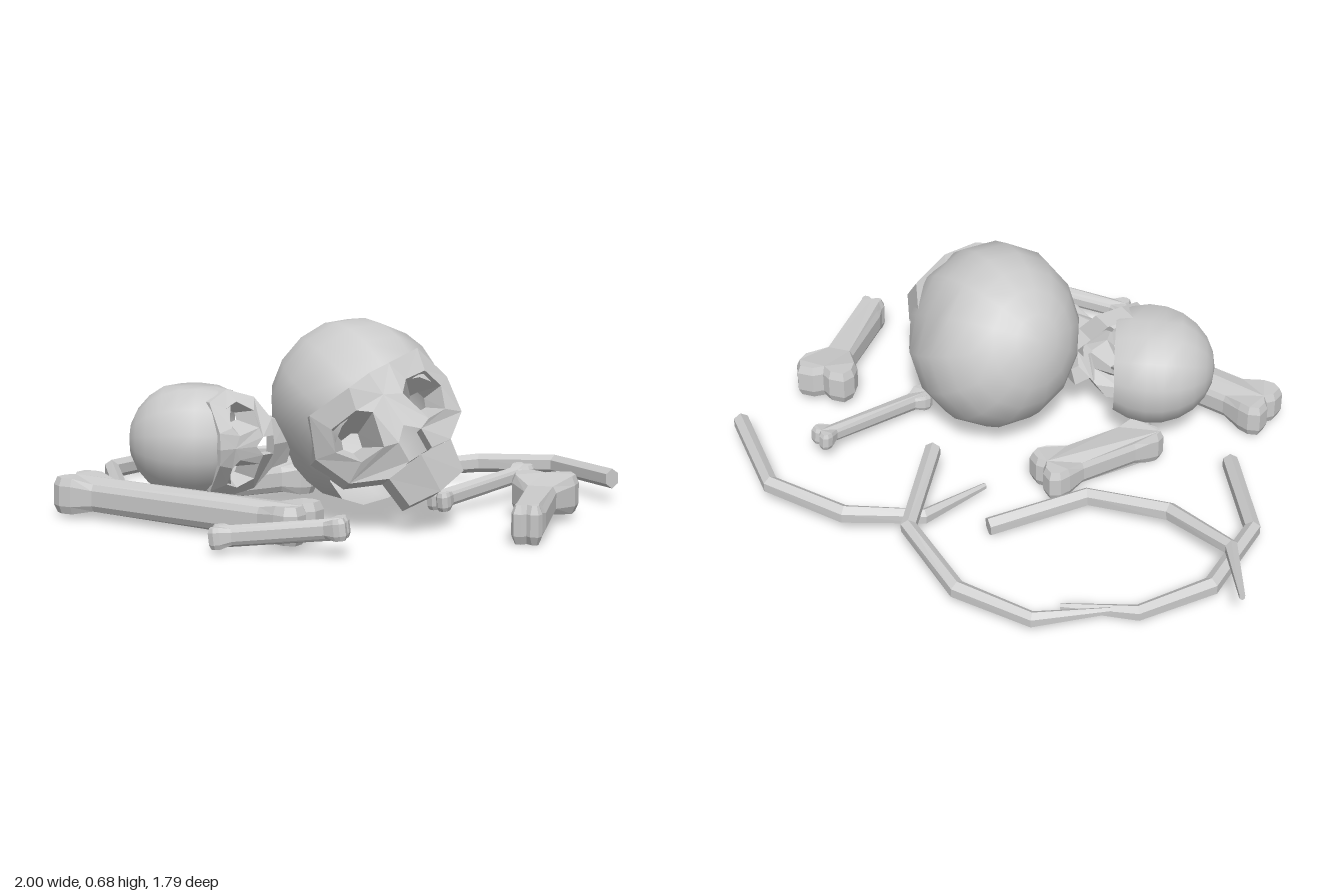
import * as THREE from 'three';
import { mergeVertices } from 'three/addons/utils/BufferGeometryUtils.js';

const solid = new THREE.MeshStandardMaterial({ color: 0xcccccc });
const shell = new THREE.MeshStandardMaterial({ color: 0xcccccc, side: THREE.DoubleSide });
const vec = (a) => new THREE.Vector3(...a);
const UP = new THREE.Vector3(0, 1, 0);

function mesh(name, geometry, material = solid) {
  const m = new THREE.Mesh(geometry, material);
  m.name = name;
  return m;
}

function facets(points) {
  const g = new THREE.BufferGeometry().setFromPoints(points);
  g.computeVertexNormals();
  return g;
}

// Frame whose x runs along a direction and whose z stays close to up
function frame(direction) {
  const u = direction.clone().normalize();
  const v = UP.clone().cross(u).normalize();
  return [u, v, u.clone().cross(v)];
}

// Curved rib: hexagonal section swept along a few points, thin tip to thick end
function rib(name, coords) {
  const pts = coords.map(vec), sides = 6, n = pts.length;
  const rings = pts.map((p, i) => {
    const [, v, w] = frame(pts[Math.min(i + 1, n - 1)].clone().sub(pts[Math.max(i - 1, 0)]));
    const size = [0.35, 0.85, 1, 1, 1][i];
    return Array.from({ length: sides }, (_, j) => {
      const a = ((j + 0.5) / sides) * Math.PI * 2;
      return p.clone()
        .addScaledVector(v, Math.cos(a) * 0.03 * size)
        .addScaledVector(w, Math.sin(a) * 0.036 * size);
    });
  });
  const tris = [];
  for (let j = 0; j < sides; j++) {
    const k = (j + 1) % sides;
    for (let i = 0; i < n - 1; i++) {
      const [a, b, c, d] = [rings[i][j], rings[i][k], rings[i + 1][k], rings[i + 1][j]];
      tris.push(a, b, c, a, c, d);
    }
    tris.push(pts[0], rings[0][k], rings[0][j], pts[n - 1], rings[n - 1][j], rings[n - 1][k]);
  }
  return mesh(name, facets(tris));
}

// Long bone: bevelled outline with a notched knob at each end
function bone(name, from, to, endA, endB, shaft, height) {
  const a = vec(from), b = vec(to), L = a.distanceTo(b);
  const bevel = height * 0.22;
  const knob = (w, side) => [[0.1 * w, 0], [0, 0.14 * w], [0, 0.4 * w], [0.2 * w, 0.5 * w],
    [0.42 * w, 0.47 * w], [0.8 * w, shaft * 0.54]].map(([u, v]) => [u, v * side]);
  const flip = (list) => list.map(([u, v]) => [L - u, v]);
  const outline = [
    ...knob(endA, -1), ...flip(knob(endB, -1)).reverse(),
    ...flip(knob(endB, 1)).slice(1), ...knob(endA, 1).slice(1).reverse(),
  ];
  const shape = new THREE.Shape(outline.map(([u, v]) => new THREE.Vector2(u, v)));
  const g = new THREE.ExtrudeGeometry(shape, {
    depth: height - 2 * bevel, bevelEnabled: true, bevelSegments: 1,
    bevelSize: bevel * 0.4, bevelOffset: -bevel * 0.4, bevelThickness: bevel,
  });
  g.translate(0, 0, bevel - height / 2);
  // Thin the shaft between the knobs
  const p = g.attributes.position;
  for (let i = 0; i < p.count; i++) {
    const u = p.getX(i);
    if (u > endA * 0.6 && u < L - endB * 0.6) p.setZ(i, p.getZ(i) * 0.75);
  }
  g.computeVertexNormals();
  const m = mesh(name, g);
  m.applyMatrix4(new THREE.Matrix4().makeBasis(...frame(b.clone().sub(a))).setPosition(a));
  return m;
}

// Braincase: faceted ball, open under the brow and behind the face
function craniumGeometry() {
  const open = 0.97;
  let g = new THREE.SphereGeometry(1, 14, 8, 0, Math.PI * 2, open, Math.PI - open);
  g.rotateX(2.53);
  g.scale(0.305, 0.33, 0.345);
  const p = g.attributes.position;
  for (let i = 0; i < p.count; i++) {
    const limit = p.getY(i) < 0.06 ? 0.27 : 0.305; // flattened temples
    p.setX(i, THREE.MathUtils.clamp(p.getX(i), -limit, limit));
    p.setY(i, Math.max(p.getY(i), -0.3)); // flattened base
  }
  g.deleteAttribute('uv');
  g.deleteAttribute('normal');
  g = mergeVertices(g, 1e-4);
  g.computeVertexNormals();
  return g;
}

// Face: ring of facets round each socket, nose opening and upper jaw, mirrored
function faceGeometry() {
  const eye = [[0.06, -0.05], [0.1, -0.015], [0.19, -0.02], [0.215, -0.09], [0.17, -0.165], [0.09, -0.165]];
  const rim = [[0, -0.02], [0.08, 0.06], [0.22, 0.06], [0.27, -0.07], [0.23, -0.2], [0.045, -0.18]];
  const browMid = [0, 0.065], noseTop = [0, -0.14], noseFoot = [0.045, -0.25], noseMid = [0, -0.25];
  const jawTop = [0.125, -0.26], jawEnd = [0.11, -0.37], jawMid = [0, -0.385];
  const tris = [];
  for (const side of [1, -1]) {
    const at = ([x, y], back = 0) => new THREE.Vector3(side * x, y,
      0.365 - 2.4 * x * x - Math.max(0, -0.2 - y) * 0.35 - back);
    const face = (...pts) => {
      if (side < 0) pts.reverse();
      for (let i = 1; i < pts.length - 1; i++) tris.push(pts[0], pts[i], pts[i + 1]);
    };
    const edge = (a, b, back) => face(at(a), at(b), at(b, back), at(a, back));
    const deep = eye.map(([x, y]) => at([0.135 + (x - 0.135) * 0.4, -0.09 + (y + 0.09) * 0.4], 0.13));
    eye.forEach((e, i) => {
      const k = (i + 1) % eye.length;
      face(at(e), at(eye[k]), at(rim[k]), at(rim[i]));
      face(deep[i], deep[k], at(eye[k]), at(e));
    });
    // Brow, bridge, cheek and upper jaw
    face(at(browMid), at(rim[0]), at(rim[1]));
    face(at(rim[0]), at(noseTop), at(rim[5]));
    face(at(rim[5]), at(noseFoot), at(jawTop), at(rim[4]));
    face(at(noseMid), at(jawMid), at(jawEnd), at(jawTop));
    // Thickness running back from the edges
    edge(rim[1], browMid, 0.08);
    edge(rim[2], rim[1], 0.08);
    edge(rim[3], rim[2], 0.12);
    edge(rim[4], rim[3], 0.12);
    edge(jawTop, rim[4], 0.12);
    edge(jawEnd, jawTop, 0.12);
    edge(jawMid, jawEnd, 0.12);
    edge(rim[5], noseFoot, 0.07);
    edge(noseFoot, noseMid, 0.07);
  }
  return facets(tris);
}

function skull(name, center, up, forward, scale) {
  const y = vec(up).normalize(), z = vec(forward).normalize();
  const x = y.clone().cross(z).normalize();
  z.crossVectors(x, y);
  const group = new THREE.Group();
  group.name = name;
  group.add(mesh('cranium', craniumGeometry(), shell), mesh('face', faceGeometry(), shell));
  group.applyMatrix4(new THREE.Matrix4().makeBasis(x, y, z)
    .scale(new THREE.Vector3(scale, scale, scale)).setPosition(vec(center)));
  return group;
}

export function createModel() {
  const model = new THREE.Group();
  model.name = 'bonePile';

  // Skulls: a large one leaning over and a small one lying on its side
  model.add(
    skull('largeSkull', [0.2, 0.365, 0.105], [-0.58, 0.81, 0], [0.46, 0.33, 0.82], 1),
    skull('smallSkull', [-0.34, 0.265, 0.295], [-0.6, 0, 0.8], [0.8, 0, 0.6], 0.69),
  );

  // Long bones
  model.add(
    bone('frontLongBone', [-0.77, 0.08, 0.42], [0.21, 0.07, 0.63], 0.2, 0.2, 0.135, 0.125),
    bone('sideBone', [0.81, 0.095, -0.115], [0.87, 0.07, 0.43], 0.23, 0.1, 0.1, 0.13),
    bone('rearBone', [-0.13, 0.07, -0.24], [-0.42, 0.07, 0.14], 0.18, 0.15, 0.12, 0.12),
    bone('smallSideBone', [0.67, 0.1, -0.4], [0.45, 0.05, 0.04], 0.09, 0.09, 0.045, 0.065),
    bone('smallFrontBone', [-0.045, 0.05, 0.845], [0.39, 0.1, 0.785], 0.09, 0.09, 0.05, 0.07),
  );

  // Ribs, each listed from tip to thick end
  model.add(
    rib('rearRib', [[-0.6, 0.05, -0.74], [-0.38, 0.05, -0.88], [-0.1, 0.06, -0.86], [0.16, 0.1, -0.69], [0.24, 0.14, -0.33]]),
    rib('outerRib', [[-0.43, 0.02, -0.76], [-0.68, 0.035, -0.7], [-0.86, 0.04, -0.49], [-0.9, 0.05, -0.18], [-0.71, 0.04, 0.14]]),
    rib('crossingRib', [[-0.995, 0.13, -0.59], [-0.88, 0.11, -0.36], [-0.62, 0.08, -0.24], [-0.32, 0.06, -0.26], [-0.06, 0.04, -0.52]]),
    rib('sideRib', [[0.04, 0.04, -0.33], [0.16, 0.05, -0.57], [0.41, 0.07, -0.69], [0.71, 0.085, -0.67], [0.98, 0.09, -0.41]]),
  );
  return model;
}
